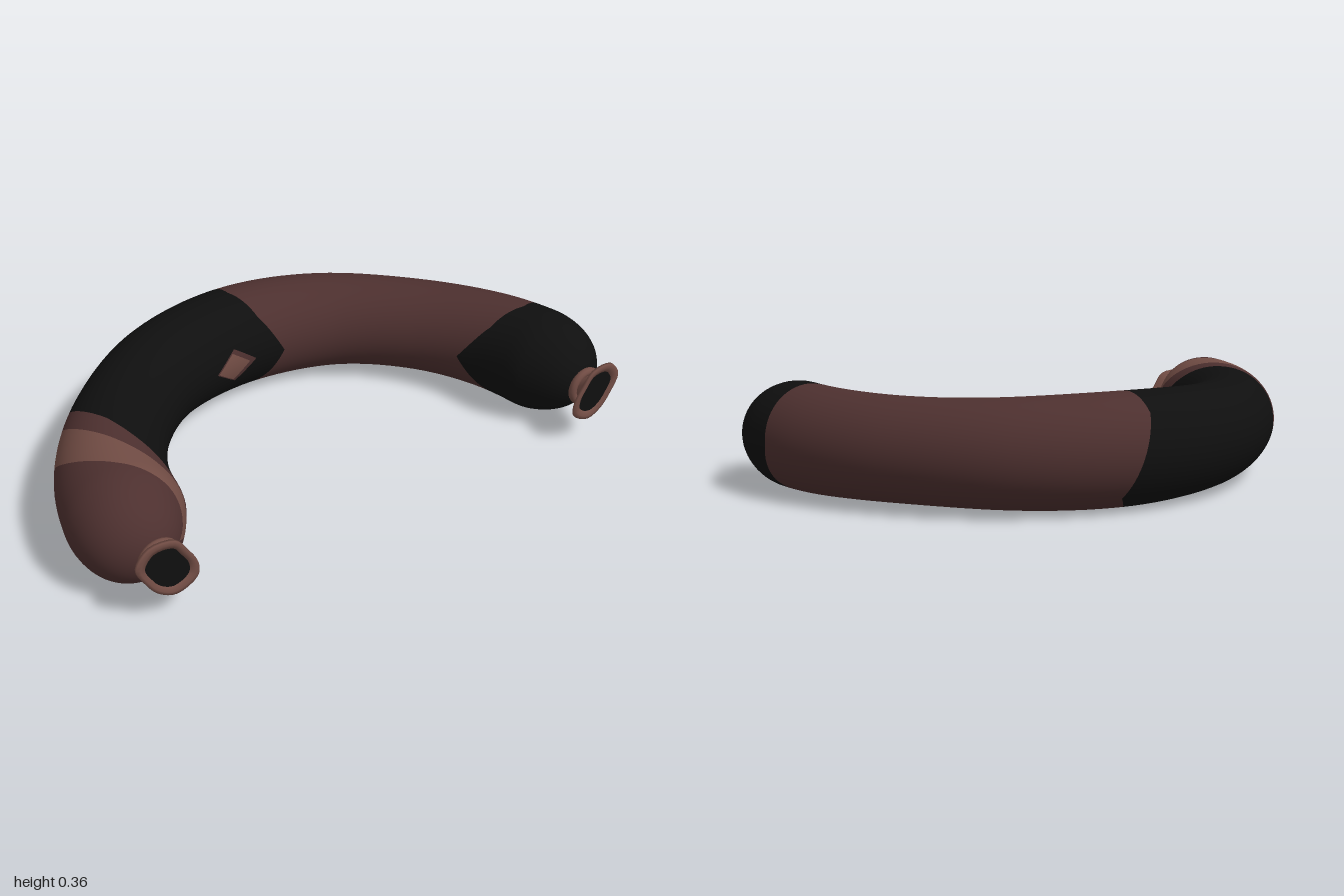
import * as THREE from 'three';

const mat = (name, color) => Object.assign(new THREE.MeshStandardMaterial({ color }), { name });

export function createModel() {
  const group = new THREE.Group();
  const brown = mat('darkBrown', 0x4d302f);
  const tan = mat('lightBrown', 0x714c44);
  const black = mat('black', 0x0f0f0f);
  const add = (geo, material, name) => {
    const m = new THREE.Mesh(geo, material);
    m.name = name;
    group.add(m);
    return m;
  };

  // Arched centreline, mirrored across x
  const Y = 0.183;
  const half = [[0.345, -0.34], [0.61, -0.12], [0.765, 0.13], [0.82, 0.36], [0.82, 0.53]];
  const pts = [...half.map(([x, z]) => [-x, z]).reverse(), [0, -0.422], ...half];
  const curve = new THREE.CatmullRomCurve3(pts.map(([x, z]) => new THREE.Vector3(x, Y, z)));
  curve.arcLengthDivisions = 600;
  const L = curve.getLength(), E = L / 2 - 0.0004;

  // Thickness: slightly slimmer at the bends, rounded at the ends
  const radius = (a) => {
    const s = Math.abs(a), d = L / 2 - s, cap = 0.23;
    const body = 0.174 + 0.007 * Math.cos((s / 1.3) * Math.PI * 2);
    return d < cap ? body * Math.sqrt(Math.max(0, 1 - ((cap - d) / cap) ** 2)) : body;
  };

  // Point on the skin: a = length from the middle, t = angle (0 outer, PI/2 top, PI inner)
  const skin = (a, t, lift = 0) => {
    const u = THREE.MathUtils.clamp(a / L + 0.5, 0, 1);
    const p = curve.getPointAt(u), d = curve.getTangentAt(u), r = radius(a) + lift;
    return p.add(new THREE.Vector3(d.z * Math.cos(t) * r, Math.sin(t) * r, -d.x * Math.cos(t) * r));
  };
  const skinNormal = (a, t) => {
    const h = 0.0003, c = THREE.MathUtils.clamp(a, -E + h, E - h);
    const da = skin(c + h, t).sub(skin(c - h, t));
    const dt = skin(c, t + 0.01).sub(skin(c, t - 0.01));
    return dt.cross(da).normalize();
  };

  // Grid of skin points; at(i, j) returns [a, t]
  const patch = (rows, cols, at, lift = 0) => {
    const pos = [], nor = [], idx = [];
    for (let i = 0; i <= rows; i++) for (let j = 0; j <= cols; j++) {
      const [a, t] = at(i / rows, j / cols);
      pos.push(...skin(a, t, lift).toArray());
      nor.push(...skinNormal(a, t).toArray());
      if (i < rows && j < cols) {
        const k = i * (cols + 1) + j, n = k + cols + 1;
        idx.push(k, k + 1, n, k + 1, n + 1, n);
      }
    }
    const g = new THREE.BufferGeometry();
    g.setAttribute('position', new THREE.Float32BufferAttribute(pos, 3));
    g.setAttribute('normal', new THREE.Float32BufferAttribute(nor, 3));
    g.setIndex(idx);
    return g;
  };

  // Colour borders, given at eight angles from outer over top, inner and bottom
  const border = (keys) => (f) => {
    const x = f * 8, i = Math.floor(x) % 8;
    return THREE.MathUtils.lerp(keys[i], keys[(i + 1) % 8], x - Math.floor(x));
  };
  const slant = (outer, top, inner) => {
    const m1 = (outer + top) / 2, m2 = (top + inner) / 2;
    return border([outer, m1, top, m2, inner, m2, top, m1].map((v) => -v));
  };
  const borders = [
    () => -E,
    slant(0.94, 1.17, 1.38),
    slant(0.77, 1.02, 1.3),
    slant(0.69, 0.92, 1.22),
    border([0.02, -0.02, -0.02, 0.03, 0.13, 0.03, 0.0, 0.06]),
    border([1.09, 1.1, 1.11, 1.05, 0.93, 1.05, 1.12, 1.12]),
    () => E,
  ];
  const bands = [
    ['rightEnd', brown], ['lightStripe', tan], ['darkStripe', brown],
    ['blackBand', black], ['brownBand', brown], ['leftEnd', black],
  ];
  bands.forEach(([name, material], k) => {
    const ease = (v) => k === 0 ? 1 - Math.cos(v * Math.PI / 2)
      : k === 5 ? Math.sin(v * Math.PI / 2) : v;
    add(patch(k === 1 || k === 2 ? 12 : 28, 64, (v, f) => {
      const a0 = borders[k](f), a1 = borders[k + 1](f);
      return [a0 + (a1 - a0) * ease(v), f * Math.PI * 2];
    }), material, name);
  });

  // Diamond spot on the inner side
  const spot = (size, lift, da, material, name) => add(patch(5, 24, (v, f) => {
    const q = f * Math.PI * 2;
    const k = v * size / (Math.abs(Math.cos(q)) + Math.abs(Math.sin(q)));
    return [-0.14 + da - Math.cos(q) * k * 0.115, Math.PI - Math.sin(q) * k * 0.36];
  }, lift), material, name);
  for (const [size, lift, da, m, n] of [[1, 0.002, 0, brown, 'spotRim'], [0.8, 0.004, -0.015, tan, 'spot']]) {
    spot(size, lift, da, m, n).material.side = THREE.DoubleSide;
  }

  // Tied ends: a ring, a wavy flared mouth and its dark opening
  const outline = [[19, 8], [11, 18], [-5, 17], [-12, 8], [-18, -3], [-17, -12], [-4, -18], [7, -13], [14, -4]];
  for (const sx of [-1, 1]) {
    const side = sx > 0 ? 'left' : 'right';
    const ctrl = outline.map(([x, y]) => new THREE.Vector3(sx * x * 0.0053, y * 0.0055, 0));
    if (sx < 0) ctrl.reverse();
    const N = 36;
    const loop = new THREE.CatmullRomCurve3(ctrl, true).getPoints(N).slice(0, N);

    add(new THREE.TorusGeometry(0.056, 0.014, 10, 28), tan, side + 'KnotRing')
      .position.set(sx * 0.82, Y, 0.54);

    // Rings of the mouth: [z, scale, roundness]
    const rings = [[0.535, 0.45, 1], [0.56, 0.48, 0.8], [0.572, 0.68, 0.3], [0.586, 0.98, 0],
      [0.594, 0.97, 0], [0.596, 0.85, 0], [0.59, 0.7, 0], [0.574, 0.62, 0]];
    const pos = [], idx = [];
    rings.forEach(([z, s, round], i) => loop.forEach((p, j) => {
      const r = THREE.MathUtils.lerp(1, 0.095 / p.length(), round) * s;
      pos.push(p.x * r, p.y * r, z);
      if (i < rings.length - 1) {
        const a = i * N + j, b = i * N + (j + 1) % N;
        idx.push(a, b, a + N, b, b + N, a + N);
      }
    }));
    const g = new THREE.BufferGeometry();
    g.setAttribute('position', new THREE.Float32BufferAttribute(pos, 3));
    g.setIndex(idx);
    g.computeVertexNormals();
    add(g, tan, side + 'Mouth').position.set(sx * 0.82, Y, 0);

    const hole = new THREE.Shape(loop.map((p) => new THREE.Vector2(p.x * 0.69, p.y * 0.69)));
    add(new THREE.ShapeGeometry(hole), black, side + 'Opening').position.set(sx * 0.82, Y, 0.588);
  }
  return group;
}
